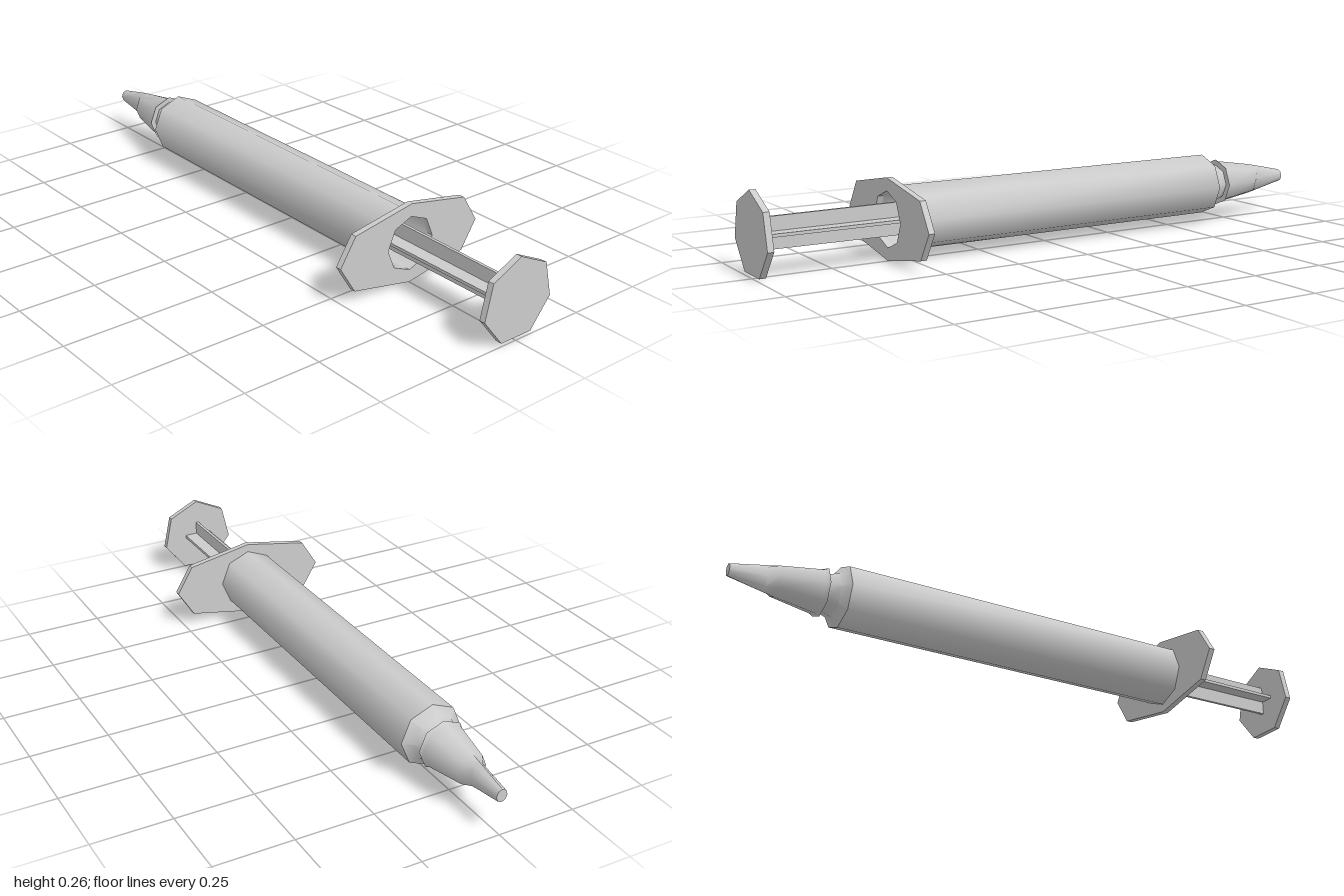
import * as THREE from 'three';
import { toCreasedNormals } from 'three/addons/utils/BufferGeometryUtils.js';

const AXIS = 0.131; // height of the long axis
const SIDES = 8;
const material = new THREE.MeshStandardMaterial({ color: 0xcccccc, side: THREE.DoubleSide });

function addMesh(group, name, geometry, y = AXIS) {
  const mesh = new THREE.Mesh(geometry, material);
  mesh.name = name;
  mesh.position.y = y;
  group.add(mesh);
  return mesh;
}

// Revolve [x, radius] pairs around the long axis.
function revolve(profile) {
  const points = profile.map(([x, r]) => new THREE.Vector2(r, x));
  const geometry = new THREE.LatheGeometry(points, SIDES).rotateZ(-Math.PI / 2);
  return toCreasedNormals(geometry, 0.85);
}

// Plate standing across the axis, outlined by [z, y] corners.
function plate(corners, x, thickness, holeRadius = 0) {
  const shape = new THREE.Shape(corners.map(([z, y]) => new THREE.Vector2(-z, y)));
  if (holeRadius) {
    shape.holes.push(new THREE.Path(polygon(SIDES, holeRadius).map(([z, y]) => new THREE.Vector2(z, y))));
  }
  const geometry = new THREE.ExtrudeGeometry(shape, { depth: thickness, bevelEnabled: false });
  return geometry.rotateY(Math.PI / 2).translate(x, 0, 0);
}

function polygon(n, radius) {
  return Array.from({ length: n }, (_, i) => {
    const a = (i / n) * Math.PI * 2;
    return [Math.sin(a) * radius, Math.cos(a) * radius];
  });
}

// Loft elliptical sections [x, halfHeight, halfWidth], closed at the first one.
function loft(sections) {
  const positions = [];
  const index = [];
  for (const [x, h, w] of sections) {
    for (const [z, y] of polygon(SIDES, 1)) positions.push(x, y * h, z * w);
  }
  for (let s = 0; s < sections.length - 1; s++) {
    for (let i = 0; i < SIDES; i++) {
      const j = (i + 1) % SIDES;
      const a = s * SIDES + i, b = s * SIDES + j;
      index.push(a, a + SIDES, b, b, a + SIDES, b + SIDES);
    }
  }
  for (let i = 1; i < SIDES - 1; i++) index.push(0, i, i + 1);
  const geometry = new THREE.BufferGeometry();
  geometry.setAttribute('position', new THREE.Float32BufferAttribute(positions, 3));
  geometry.setIndex(index);
  return toCreasedNormals(geometry, 1.0);
}

export function createModel() {
  const group = new THREE.Group();
  group.name = 'syringe';

  // Hollow barrel with sloping shoulder and narrow neck
  addMesh(group, 'barrel', revolve([
    [-0.72, 0.058], [-0.705, 0.062], [-0.67, 0.073], [-0.648, 0.102], [0.55, 0.102],
    [0.55, 0.088], [-0.64, 0.088],
  ]));

  // Tip cap: round at the rim, pinched flat towards the end
  addMesh(group, 'tipCap', loft([
    [-1, 0.021, 0.018], [-0.885, 0.046, 0.021], [-0.855, 0.052, 0.048],
    [-0.72, 0.073, 0.073], [-0.708, 0.08, 0.08],
  ]));
  addMesh(group, 'tipCapRim', revolve([[-0.708, 0.08], [-0.708, 0.055]]));

  // Finger flange with an opening for the plunger
  addMesh(group, 'fingerFlange', plate([
    [0, 0.129], [0.215, 0.089], [0.27, 0], [0.215, -0.089],
    [0, -0.129], [-0.215, -0.089], [-0.27, 0], [-0.215, 0.089],
  ], 0.545, 0.02, 0.088));

  // Plunger rod: two crossed ribs, slightly slimmer towards the thumb rest
  for (const [name, turn] of [['uprightRib', 0], ['flatRib', Math.PI / 2]]) {
    const rib = new THREE.BoxGeometry(0.78, 0.106, 0.01);
    const p = rib.attributes.position;
    for (let i = 0; i < p.count; i++) if (p.getX(i) > 0) p.setY(i, p.getY(i) * 0.92);
    addMesh(group, name, rib.translate(0.595, 0, 0).rotateX(turn));
  }

  // Stopper inside the barrel
  addMesh(group, 'stopper', revolve([[0.16, 0], [0.16, 0.086], [0.21, 0.086], [0.21, 0]]));

  // Seven-sided thumb rest
  addMesh(group, 'thumbRest', plate(polygon(7, 0.132), 0.98, 0.02));

  return group;
}
